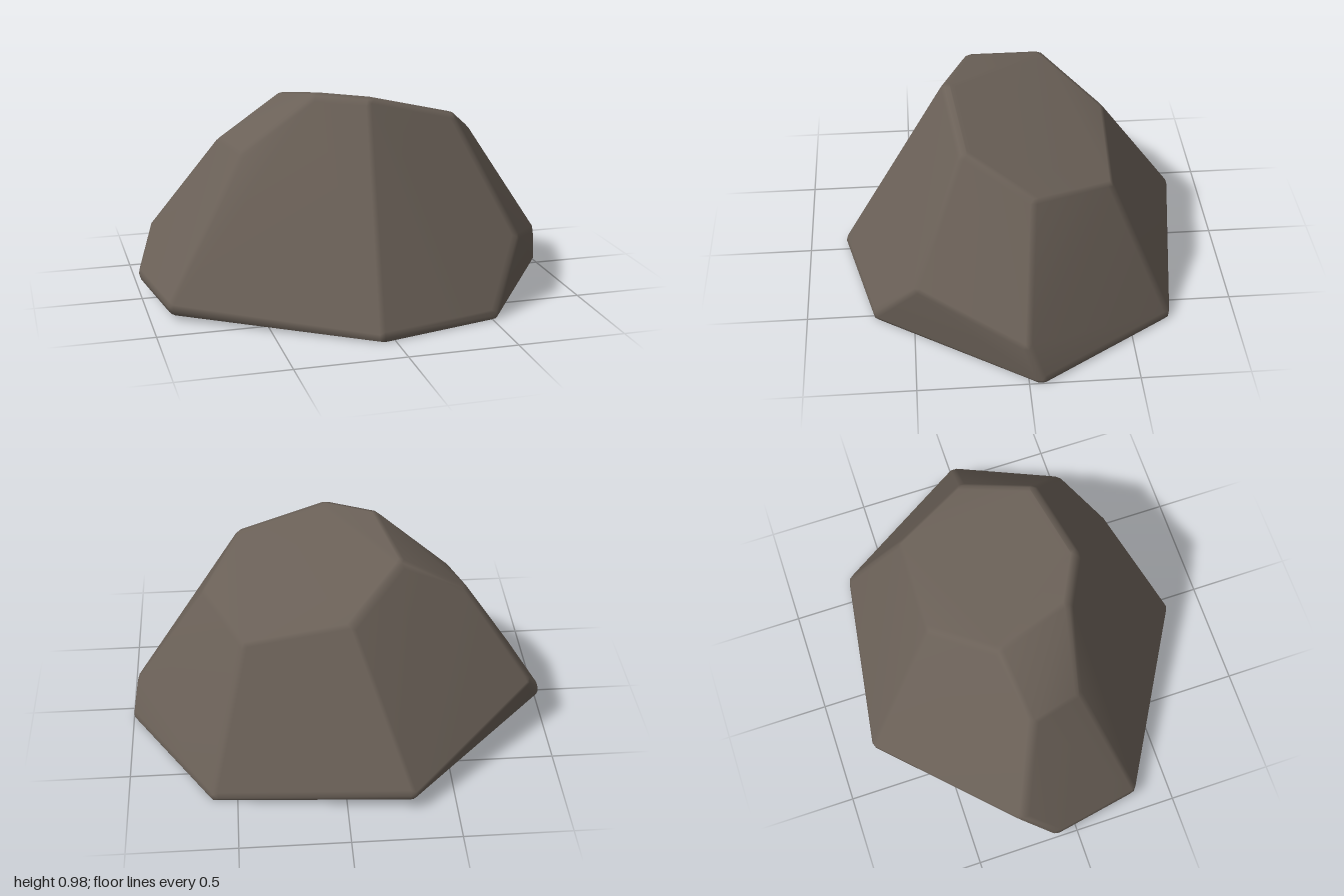
import * as THREE from 'three';
import { mergeVertices } from 'three/addons/utils/BufferGeometryUtils.js';
import { ConvexGeometry } from 'three/addons/geometries/ConvexGeometry.js';

// Corners of the boulder, ring by ring
const PLATEAU = [
  [0.03, 0.97, 0.31], [-0.2, 0.98, 0.19], [-0.3, 0.92, -0.15], [-0.04, 0.77, -0.43],
  [0.46, 0.67, -0.41], [0.63, 0.72, -0.05], [0.45, 0.86, 0.25],
];
const SHOULDERS = [
  [-0.61, 0.72, -0.1], [-0.55, 0.7, 0.13], [-0.92, 0.26, -0.25],
  [0.97, 0.17, 0.0], [0.7, 0.3, 0.48],
];
const FOOT = [
  [-1, 0.08, -0.1], [-0.92, 0.05, 0.31], [-0.3, 0.08, -0.82], [0.62, 0, -0.68],
  [1, 0, -0.06], [0.52, 0, 0.68], [-0.05, 0, 0.82], [-0.4, 0, 0.1],
];

// Convex hull over a small ball at every corner, giving softly worn edges
function wornHull(corners, radius) {
  const middle = new THREE.Vector3(0, 0.35, 0);
  const ball = mergeVertices(new THREE.IcosahedronGeometry(radius, 1).deleteAttribute('normal').deleteAttribute('uv'));
  const points = [];
  for (const c of corners) {
    const corner = new THREE.Vector3(...c);
    const inward = middle.clone().sub(corner).normalize();
    const centre = corner.clone().addScaledVector(inward, radius);
    for (let i = 0; i < ball.attributes.position.count; i++) {
      const p = new THREE.Vector3().fromBufferAttribute(ball.attributes.position, i).add(centre);
      p.y = Math.max(p.y, 0); // flat underside
      p.x = THREE.MathUtils.clamp(p.x, -1, 1);
      points.push(p);
    }
  }
  const hull = new ConvexGeometry(points);
  hull.deleteAttribute('normal');
  const smooth = mergeVertices(hull, 1e-4);
  smooth.computeVertexNormals();
  return smooth;
}

export function createModel() {
  const stone = new THREE.MeshStandardMaterial({ color: 0x6a6057 });
  stone.name = 'stone';

  const group = new THREE.Group();
  group.name = 'rock';
  const boulder = new THREE.Mesh(wornHull([...PLATEAU, ...SHOULDERS, ...FOOT], 0.05), stone);
  boulder.name = 'boulder';
  group.add(boulder);
  return group;
}
